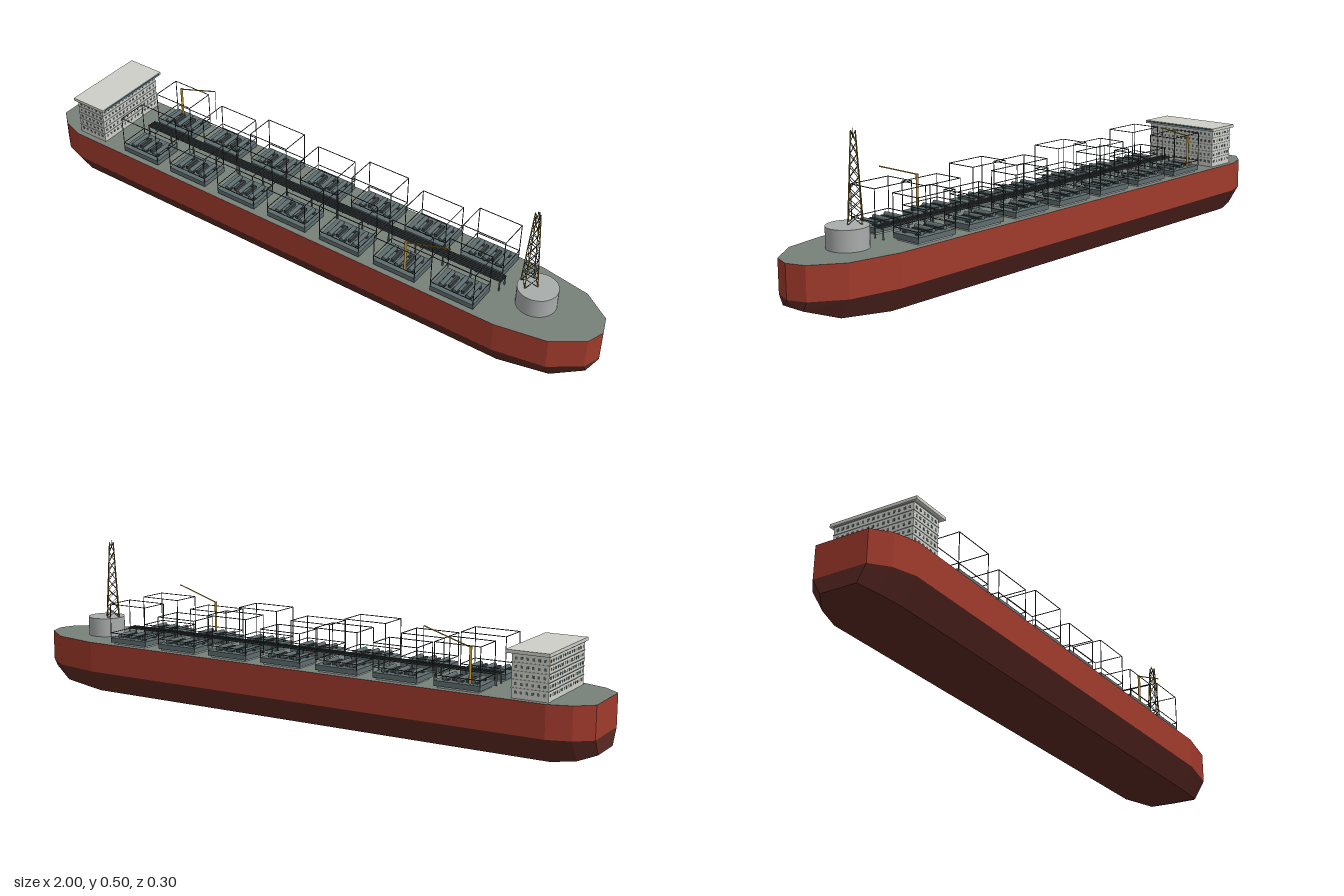
import * as THREE from 'three';
import { mergeGeometries } from 'three/addons/utils/BufferGeometryUtils.js';

const material = (color, extra = {}) => new THREE.MeshStandardMaterial({ color, ...extra });
const red = material(0xa03a2c), darkRed = material(0x5a2822), deckGreen = material(0x78807a);
const white = material(0xcfcfc8), steel = material(0x3c4244), slate = material(0x5e6c6e);
const grey = material(0xa8acaa), yellow = material(0xc89a2c), glass = material(0x35586a);

const DECK = 0.172, CHINE = 0.073;

function box(w, h, d, x, y, z) {
  return new THREE.BoxGeometry(w, h, d).translate(x, y, z);
}

// Round bar between two points
function bar(a, b, r = 0.0014) {
  const p = new THREE.Vector3(...a), q = new THREE.Vector3(...b);
  const dir = q.clone().sub(p);
  const g = new THREE.CylinderGeometry(r, r, dir.length(), 5);
  g.applyQuaternion(new THREE.Quaternion().setFromUnitVectors(new THREE.Vector3(0, 1, 0), dir.normalize()));
  return g.translate(...p.add(q).multiplyScalar(0.5).toArray());
}

function add(parent, name, parts, mat) {
  const mesh = new THREE.Mesh(Array.isArray(parts) ? mergeGeometries(parts) : parts, mat);
  mesh.name = name;
  parent.add(mesh);
  return mesh;
}

// Flat-faced surface from a list of four-cornered panels
function panels(quads) {
  const pos = [];
  for (const [a, b, c, d] of quads) pos.push(...a, ...b, ...c, ...a, ...c, ...d);
  const g = new THREE.BufferGeometry();
  g.setAttribute('position', new THREE.Float32BufferAttribute(pos, 3));
  g.computeVertexNormals();
  return g;
}

function hull() {
  const group = new THREE.Group();
  group.name = 'hull';
  // Stations: x, deck half-width, keel half-width, keel height
  const stations = [
    [-1, 0.085, 0.058, 0.025], [-0.95, 0.128, 0.09, 0.008], [-0.88, 0.151, 0.107, 0],
    [0.73, 0.151, 0.107, 0], [0.89, 0.122, 0.085, 0.014], [0.98, 0.057, 0.042, 0.045], [1, 0, 0, 0.069],
  ];
  const upper = [], lower = [], top = [];
  for (let i = 0; i < stations.length - 1; i++) {
    const [x0, w0, k0, y0] = stations[i], [x1, w1, k1, y1] = stations[i + 1];
    for (const s of [1, -1]) {
      const face = (...q) => (s > 0 ? q : q.reverse());
      upper.push(face([x0, CHINE, s * w0], [x1, CHINE, s * w1], [x1, DECK, s * w1], [x0, DECK, s * w0]));
      lower.push(face([x0, y0, s * k0], [x1, y1, s * k1], [x1, CHINE, s * w1], [x0, CHINE, s * w0]));
    }
    top.push([[x0, DECK, w0], [x1, DECK, w1], [x1, DECK, -w1], [x0, DECK, -w0]]);
    lower.push([[x0, y0, -k0], [x1, y1, -k1], [x1, y1, k1], [x0, y0, k0]]);
  }
  // Transom
  const [x, w, k, y] = stations[0];
  upper.push([[x, CHINE, -w], [x, CHINE, w], [x, DECK, w], [x, DECK, -w]]);
  lower.push([[x, y, -k], [x, y, k], [x, CHINE, w], [x, CHINE, -w]]);
  add(group, 'upperHull', panels(upper), red);
  add(group, 'lowerHull', panels(lower), darkRed);
  add(group, 'mainDeck', panels(top), deckGreen);
  return group;
}

function accommodation() {
  const group = new THREE.Group();
  group.name = 'accommodation';
  const cx = -0.825, w = 0.11, d = 0.264;
  add(group, 'house', box(w, 0.13, d, cx, DECK + 0.065, 0), white);
  add(group, 'roof', box(0.13, 0.01, 0.288, -0.82, 0.305, 0), white);
  add(group, 'bridgeWindows', box(0.003, 0.004, 0.274, -0.755, 0.306, 0), glass);
  const windows = [], ledges = [];
  for (let row = 0; row < 5; row++) {
    const y = 0.19 + row * 0.024;
    ledges.push(box(w + 0.003, 0.002, d + 0.003, cx, y + 0.012, 0));
    for (let i = 0; i < 15; i++) windows.push(box(w + 0.002, 0.008, 0.007, cx, y, (i - 7) * 0.017));
    for (let i = 0; i < 6; i++) windows.push(box(0.007, 0.008, d + 0.002, cx + (i - 2.5) * 0.017, y, 0));
  }
  add(group, 'windows', windows, slate);
  add(group, 'ledges', ledges, grey);
  return group;
}

function processModule(x, z, top) {
  const group = new THREE.Group();
  group.name = 'processModule';
  group.position.set(x, 0, z);
  const hx = 0.0715, hz = 0.0495;
  add(group, 'plinth', box(0.13, 0.006, 0.085, 0, 0.175, 0), grey);
  add(group, 'skid', box(0.145, 0.016, 0.1, 0, 0.186, 0), slate);
  // Open frame: posts and rails
  const frame = [];
  for (const s of [-1, 1]) {
    for (const t of [-1, 1]) frame.push(bar([s * hx, 0.19, t * hz], [s * hx, top, t * hz]));
    for (const y of [0.21, top]) {
      frame.push(bar([-hx, y, s * hz], [hx, y, s * hz]), bar([s * hx, y, -hz], [s * hx, y, hz]));
    }
  }
  add(group, 'frame', frame, steel);
  // Vessels lying across the skid, with boxes between
  const vessels = [], units = [];
  for (const px of [-0.045, 0, 0.045]) {
    vessels.push(new THREE.CylinderGeometry(0.007, 0.007, 0.072, 10).rotateX(Math.PI / 2).translate(px, 0.201, 0));
    units.push(box(0.022, 0.004, 0.01, px, 0.196, 0.025), box(0.022, 0.004, 0.01, px, 0.196, -0.025));
  }
  for (const px of [-0.022, 0.022]) units.push(box(0.009, 0.01, 0.05, px, 0.199, 0));
  add(group, 'vessels', vessels, slate);
  add(group, 'equipment', units, steel);
  return group;
}

function pipeRack() {
  const group = new THREE.Group();
  group.name = 'pipeRack';
  const pipes = [], supports = [];
  for (let i = -2; i <= 2; i++) pipes.push(bar([-0.68, 0.207, i * 0.0075], [0.676, 0.207, i * 0.0075], 0.0028));
  for (let i = 0; i <= 14; i++) {
    const x = -0.675 + i * 0.0962;
    supports.push(box(0.004, 0.003, 0.036, x, 0.203, 0));
    for (const s of [-1, 1]) supports.push(box(0.004, 0.03, 0.003, x, 0.187, s * 0.0165));
  }
  add(group, 'pipes', pipes, steel);
  add(group, 'pipeSupports', supports, slate);
  return group;
}

function crane(x, z, hook) {
  const group = new THREE.Group();
  group.name = 'crane';
  group.position.set(x, 0, z);
  add(group, 'cranePost', new THREE.CylinderGeometry(0.004, 0.004, 0.128, 10).translate(0, 0.236, 0), yellow);
  add(group, 'craneBoom', bar([0, 0.298, 0], [0.148, 0.345, 0], 0.002), yellow);
  if (hook) add(group, 'hoistWire', bar([0.148, 0.345, 0], [0.148, 0.23, 0], 0.0008), steel);
  return group;
}

// Four-legged lattice tower with tapering legs and crossed braces
function derrick() {
  const group = new THREE.Group();
  group.name = 'derrick';
  group.position.set(0.757, 0, 0);
  const base = 0.233, height = 0.256, levels = 8;
  const point = (leg, t) => {
    const r = 0.028 - 0.019 * t, a = leg * Math.PI / 2;
    return [r * Math.cos(a), base + height * t, r * Math.sin(a)];
  };
  const legs = [], braces = [];
  for (let leg = 0; leg < 4; leg++) {
    legs.push(bar(point(leg, 0), point(leg, 1), 0.0015));
    for (let i = 0; i < levels; i++) {
      const t0 = i / levels, t1 = (i + 1) / levels;
      braces.push(bar(point(leg, t0), point(leg + 1, t1), 0.001), bar(point(leg + 1, t0), point(leg, t1), 0.001));
    }
  }
  braces.push(bar([0, 0.47, 0], [0, 0.497, 0], 0.001));
  add(group, 'legs', legs, yellow);
  add(group, 'braces', braces, steel);
  return group;
}

export function createModel() {
  const ship = new THREE.Group();
  ship.name = 'productionShip';
  ship.add(hull(), accommodation(), pipeRack(), derrick());
  for (let i = 0; i < 7; i++) {
    for (const s of [-1, 1]) ship.add(processModule(-0.607 + i * 0.198, s * 0.087, i % 2 ? 0.282 : 0.306));
  }
  ship.add(crane(-0.64, -0.119, true), crane(0.41, 0.119, false));
  add(ship, 'turret', new THREE.CylinderGeometry(0.061, 0.061, 0.062, 32).translate(0.786, DECK + 0.031, 0), grey);
  return ship;
}
